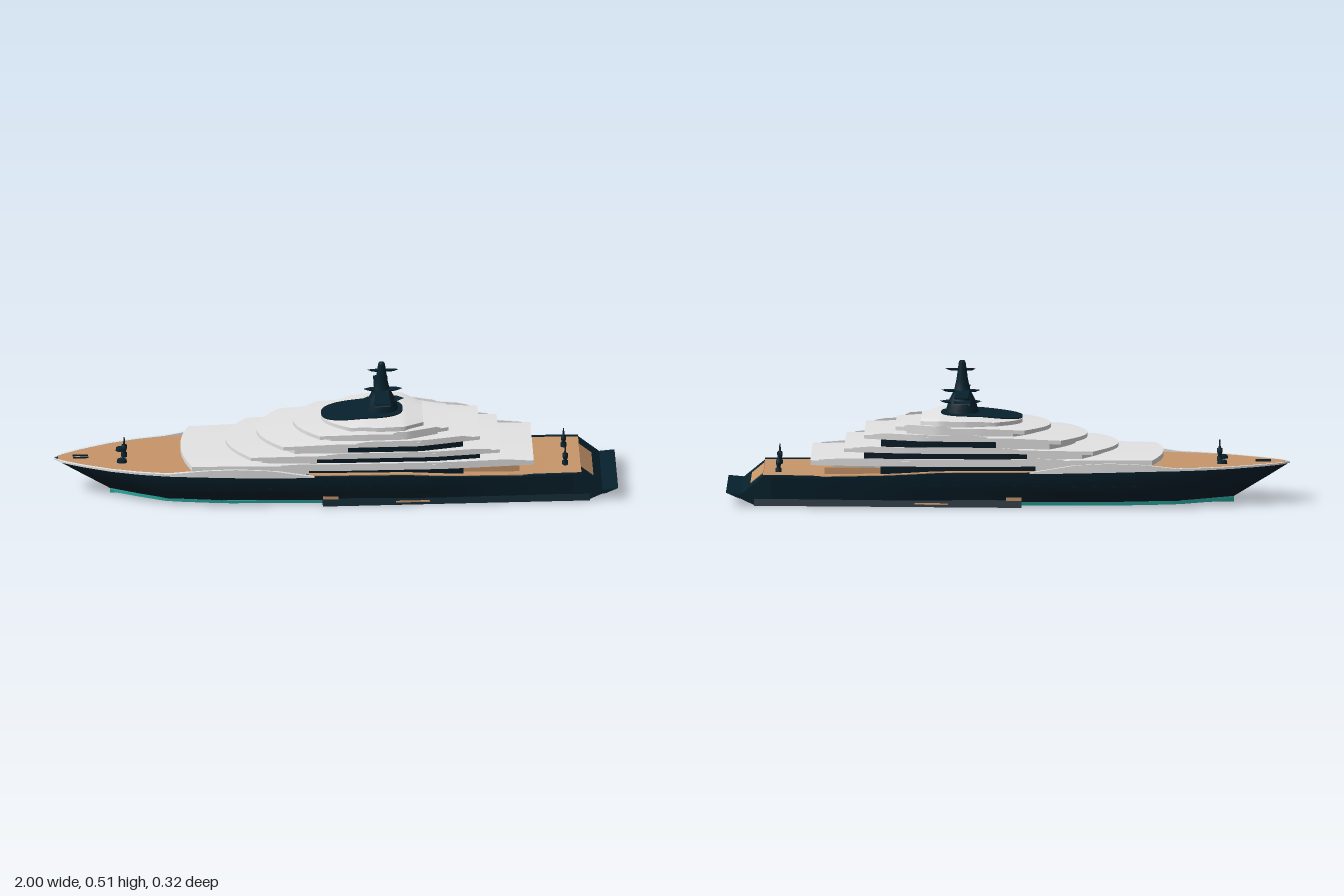
import * as THREE from 'three';
import { toCreasedNormals } from 'three/addons/utils/BufferGeometryUtils.js';

const mat = (name, color) => {
  const m = new THREE.MeshStandardMaterial({ color });
  m.name = name;
  return m;
};

// Linear lookup in a short [x, value] table
function at(table, x) {
  if (x <= table[0][0]) return table[0][1];
  for (let i = 1; i < table.length; i++) {
    const [x0, a] = table[i - 1], [x1, b] = table[i];
    if (x <= x1) return a + (b - a) * (x - x0) / (x1 - x0);
  }
  return table[table.length - 1][1];
}

// Skin between rings; each ring runs across the top (-z to +z) and back along the bottom
function loft(rings) {
  const pos = rings.flat(2), idx = [], m = rings[0].length, last = (rings.length - 1) * m;
  for (let i = 0; i < rings.length - 1; i++) {
    for (let k = 0; k < m; k++) {
      const a = i * m + k, b = i * m + (k + 1) % m;
      idx.push(a, b, b + m, a, b + m, a + m);
    }
  }
  for (let k = 0; k < m / 2 - 1; k++) {
    const a = k, b = k + 1, c = m - 2 - k, d = m - 1 - k;
    idx.push(a, c, b, a, d, c, last + a, last + b, last + c, last + a, last + c, last + d);
  }
  const g = new THREE.BufferGeometry();
  g.setAttribute('position', new THREE.Float32BufferAttribute(pos, 3));
  g.setIndex(idx);
  return toCreasedNormals(g, 0.6);
}

const range = (a, b, n) => Array.from({ length: n + 1 }, (_, i) => a + (b - a) * i / n);

// Deck slab or wall block with a swept front edge and a slightly crowned top
function slab({ x0, x1, sweep = 0, width, top, bottom, crown = 0 }) {
  const vs = range(-1, 1, 16);
  return loft(range(0, 1, 26).map(u => {
    const p = (v, y) => {
      const x = x0 + sweep * v * v + (x1 - x0 - sweep * v * v) * u;
      return [x, y(x) - crown * v ** 4, v * width(x)];
    };
    return [...vs.map(v => p(v, top)), ...[...vs].reverse().map(v => p(v, bottom))];
  }));
}

const beam = [[-1, .002], [-.97, .03], [-.9, .063], [-.8, .1], [-.7, .126], [-.6, .143], [-.5, .153],
  [-.35, .159], [.35, .159], [.5, .15], [.7, .143], [.87, .14]];
const waterBeam = [[-1, .001], [-.8, .045], [-.6, .085], [-.4, .11], [-.05, .125], [.3, .131], [.87, .131]];
const sheer = [[-1, .146], [-.5, .144], [-.15, .135], [.25, .13], [.45, .117], [.7, .108], [.87, .108]];

export function createModel() {
  const navy = mat('navy hull', 0x06212d), white = mat('white paint', 0xe4e4e4);
  const teak = mat('teak', 0xc8966a), teal = mat('teal underbody', 0x2fb5ad);
  const glass = mat('dark glass', 0x061a24), grey = mat('grey wall', 0xbcbcba);
  const root = new THREE.Group();
  const add = (name, geo, material, x = 0, y = 0, z = 0, parent = root) => {
    const mesh = new THREE.Mesh(geo, material);
    mesh.name = name;
    mesh.position.set(x, y, z);
    parent.add(mesh);
    return mesh;
  };
  const box = (w, h, d) => new THREE.BoxGeometry(w, h, d);
  const plate = (pts, depth) => new THREE.ExtrudeGeometry(
    new THREE.Shape(pts.map(p => new THREE.Vector2(...p))), { depth, bevelEnabled: false }).translate(0, 0, -depth / 2);

  // Raked bow: lower points of the forward hull move aft
  const rake = (x, y) => x < -.6 ? x + (-.8 + (x + 1) * .5 - x) * Math.min(1, Math.max(0, (.145 - y) / .125)) : x;
  const stations = [...range(-1, -.6, 14), ...range(-.55, .87, 30)];

  // Hull
  add('hull', loft(stations.map(x => {
    const w = at(beam, x), b = at(waterBeam, x), s = at(sheer, x);
    const half = [[w, s], [b + (w - b) * .92, .1], [b + (w - b) * .45, .06], [b, .02]];
    const zs = [-1, -.75, -.5, -.25, .25, .5, .75, 1];
    const side = (sg, list) => list.map(([z, y]) => [rake(x, y), y, sg * z]);
    return [...zs.map(v => [x, s, v * w]), ...side(1, half), ...side(-1, [...half].reverse())];
  })), navy);

  // Underbody forward, wider bottom shelf aft
  add('underbody', loft(range(-.8, -.05, 16).map(x => {
    const w = at(waterBeam, -1 + Math.min(1, (x + .8) / .2) * .4 + Math.max(0, x + .6)) + .001;
    return [[x, .021, -w], [x, .021, 0], [x, .021, w], [x, .007, w * .97], [x, 0, 0], [x, .007, -w * .97]];
  })), teal);
  add('bottomShelf', loft([-.05, .9].map(x =>
    [[x, .028, -.131], [x, .028, .131], [x, .003, .141], [x, .003, -.141]])), navy);

  // Stern: sloping transom with swim platform over a narrower foot
  add('sternPlatform', plate([[.84, .03], [.955, .03], [1, .05], [.945, .045], [.87, .108], [.84, .108]], .28), navy);
  add('sternFoot', plate([[.84, .004], [.9, .004], [.955, .03], [.84, .03]], .264), navy);
  const ramp = add('sternSteps', box(.06, .004, .16), teak, .8905, .0915, 0);
  ramp.rotation.z = -Math.atan2(.063, .075);

  // Teak decks
  for (const [name, x0, x1] of [['foreDeck', -.985, -.4], ['aftDeck', -.1, .87]]) {
    add(name, slab({ x0, x1, width: x => Math.max(.002, at(beam, x) - .007),
      top: x => at(sheer, x) + .003, bottom: x => at(sheer, x) - .004 }), teak);
  }

  // White bulwark sweeping along the forward sides, dark bulwark aft
  const bulwark = (name, xs, height, material) => {
    for (const s of [-1, 1]) {
      add(name, loft(xs.map(x => {
        const w = at(beam, x) + .001, y = at(sheer, x), h = at(height, x);
        const a = Math.max(0, w - .009) * s, b = w * s, lo = Math.min(a, b), hi = Math.max(a, b);
        return [[x, y + h, lo], [x, y + h, hi], [x, y - .003, hi], [x, y - .003, lo]];
      })), material);
    }
  };
  bulwark('foreBulwark', [...range(-1, -.6, 14), ...range(-.57, -.08, 14)],
    [[-1, .003], [-.6, .006], [-.48, .022], [-.36, .03], [-.24, .026], [-.08, .001]], white);
  bulwark('aftBulwark', range(.66, .87, 6), [[.66, .002], [.7, .006], [.87, .006]], navy);

  // Deck slabs from lowest to roof
  const decks = [
    { x0: -.55, x1: .7, sweep: .035, t: .018, y: [[-.55, .183], [-.3, .185], [0, .176], [.7, .173]],
      w: [[-.52, .147], [-.3, .155], [.38, .156], [.5, .149], [.7, .137]] },
    { x0: -.39, x1: .58, sweep: .085, t: .013, y: [[-.39, .213], [-.1, .217], [.58, .215]],
      w: [[-.3, .146], [0, .151], [.35, .15], [.58, .128]] },
    { x0: -.28, x1: .51, sweep: .09, t: .014, y: [[-.28, .248], [0, .26], [.51, .261]],
      w: [[-.19, .141], [.05, .147], [.3, .147], [.51, .11]] },
    { x0: -.15, x1: .4, sweep: .09, t: .014, y: [[-.15, .281], [.1, .291], [.4, .287]],
      w: [[-.06, .127], [.1, .134], [.25, .132], [.4, .085]] },
    { x0: -.05, x1: .31, sweep: .1, t: .014, y: [[-.05, .3], [.1, .314], [.24, .315], [.31, .304]],
      w: [[.05, .115], [.15, .129], [.24, .125], [.31, .075]] },
  ];
  decks.forEach((d, i) => add('deck' + (i + 1), slab({ x0: d.x0, x1: d.x1, sweep: d.sweep, crown: .003,
    width: x => at(d.w, x), top: x => at(d.y, x), bottom: x => at(d.y, x) - d.t }), white));

  // Walls between decks: deck above, x start, x end, sweep, inset, y bottom, material
  const walls = [
    ['mainFront', 0, -.51, -.1, .03, .015, .12, white], ['mainSaloon', 0, -.1, .45, 0, .02, .12, glass],
    ['aftSaloon', 0, .44, .62, 0, .035, .1, grey],
    ['upperFront', 1, -.35, -.07, .085, .012, .165, white], ['upperSaloon', 1, -.07, .51, 0, .018, .165, glass],
    ['bridgeFront', 2, -.24, .04, .09, .012, .205, white], ['bridge', 2, .04, .45, 0, .016, .205, glass],
    ['skyLounge', 3, -.11, .36, .09, .008, .25, white], ['roofBase', 4, -.01, .27, .1, .012, .28, white],
  ];
  for (const [name, above, x0, x1, sweep, inset, yb, material] of walls) {
    const d = decks[above];
    add(name, slab({ x0, x1, sweep, width: x => at(d.w, x) - inset,
      top: x => at(d.y, x) - d.t + .001, bottom: () => yb }), material);
  }

  // Low side coamings along the aft part of each deck
  for (const d of decks.slice(0, 4)) {
    for (const s of [-1, 1]) {
      add('coaming', loft(range(d.x0 + .35, d.x1 - .03, 10).map((x, k) => {
        const z = (at(d.w, x) - .002) * s, y = at(d.y, x), h = k % 10 ? .006 : 0;
        return [[x, y + h, z - .002], [x, y + h, z + .002], [x, y - .006, z + .002], [x, y - .006, z - .002]];
      })), white);
    }
  }

  // Dark pad on the roof with full, rounded ends, following the slope
  const pad = new THREE.CylinderGeometry(1, 1, .004, 48, 1);
  const pp = pad.attributes.position;
  const full = c => Math.sign(c) * Math.abs(c) ** .75;
  for (let i = 0; i < pp.count; i++) {
    const x = .095 + .145 * full(pp.getX(i));
    pp.setXYZ(i, x, pp.getY(i) + .004 + at([[-.05, .301], [.1, .315], [.24, .315]], x), .07 * full(pp.getZ(i)));
  }
  add('mastPad', pad, navy);

  // Mast with wings and fore-and-aft arms
  const mast = new THREE.Group();
  mast.name = 'mast';
  root.add(mast);
  const tower = new THREE.LatheGeometry([[.046, .312], [.041, .335], [.034, .365], [.021, .4], [.015, .44],
    [.009, .5], [.007, .506], [0, .506]].map(p => new THREE.Vector2(...p)), 16).scale(1.35, 1, 1);
  add('mastTower', tower, navy, .165, 0, 0, mast);
  const wing = [[0, .405], [.03, .398], [.106, .394], [.106, .391], [.06, .381], [.03, .37], [.03, .377], [.05, .388], [0, .388]];
  const fin = [[0, .35], [.03, .35], [.06, .357], [.058, .36], [.03, .365], [0, .368]];
  for (const r of [Math.PI / 2, -Math.PI / 2]) {
    add('mastWing', plate(wing, .05), navy, .165, 0, 0, mast).rotation.y = r;
    add('mastFin', plate(fin, .06), navy, .165, 0, 0, mast).rotation.y = r;
  }
  for (const [y, len, wide] of [[.474, .11, .014], [.396, .14, .03], [.355, .15, .05]]) {
    add('mastArm', new THREE.CylinderGeometry(.5, .38, .007, 8).scale(len, 1, wide), navy, .17, y, 0, mast);
  }

  // Small posts on the fore and aft decks
  const post = (x, y, z, h) => add('deckPost', new THREE.LatheGeometry([[.011, 0], [.011, .2], [.006, .25],
    [.01, .45], [.01, .6], [.004, .65], [.002, 1], [0, 1]].map(([r, v]) => new THREE.Vector2(r, v * h)), 10), navy, x, y, z);
  for (const s of [-1, 1]) {
    post(.815, .108, s * .065, .075);
    add('winch', new THREE.CylinderGeometry(.011, .013, .014, 10).scale(1.5, 1, 1), navy, -.76, .153, s * .042);
    add('anchorChain', box(.055, .006, .004), navy, -.905, .15, s * .008);
  }
  post(-.75, .145, 0, .08);

  for (const s of [-1, 1]) {
    // Portholes along the hull
    for (let i = 0; i < 14; i++) {
      const x = -.45 + i * .07;
      const w = at(beam, x), b = at(waterBeam, x);
      add('porthole', box(.018, .006, .004), glass, x, .085, s * (b + (w - b) * .75));
    }
    // Teak side of the aft saloon, landing and shelf strips
    add('saloonTeak', box(.2, .024, .006), teak, .55, .128, s * .115);
    add('landingStrip', box(.055, .012, .008), teak, -.022, .033, s * .13);
    add('shelfStrip', box(.12, .005, .006), teak, .27, .014, s * .1365);
  }
  return root;
}
